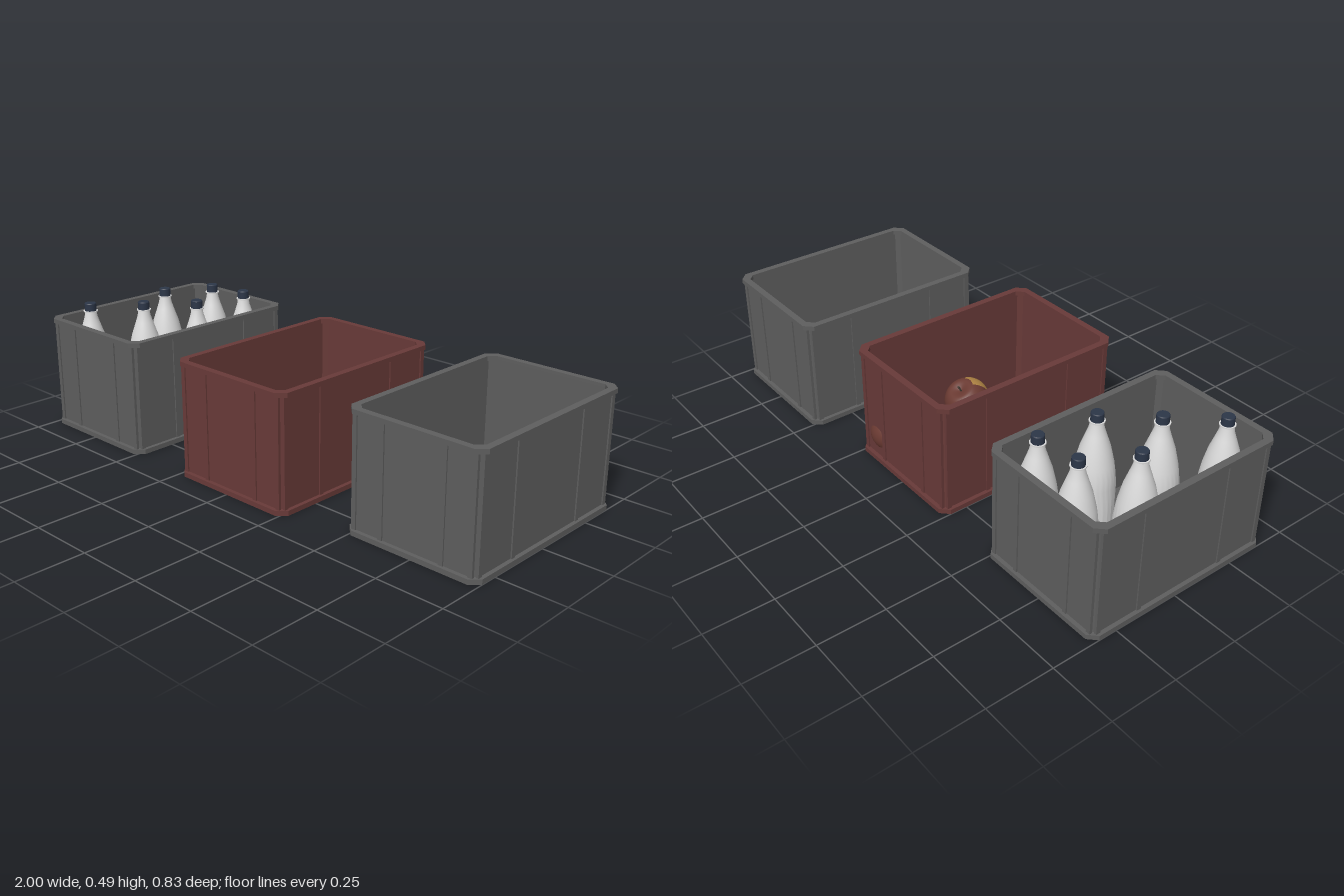
import * as THREE from 'three';

const mat = (name, color) => {
  const m = new THREE.MeshStandardMaterial({ color });
  m.name = name;
  return m;
};

const mesh = (name, geo, material, parent, x = 0, y = 0, z = 0) => {
  const m = new THREE.Mesh(geo, material);
  m.name = name;
  m.position.set(x, y, z);
  parent.add(m);
  return m;
};

// rectangle with cut corners
function chamfered(Type, w, l, c) {
  const pts = [[w - c, -l], [w, c - l], [w, l - c], [w - c, l], [c - w, l], [-w, l - c], [-w, c - l], [c - w, -l]];
  return new Type(pts.map(([x, y]) => new THREE.Vector2(x, y)));
}

// flat slab or ring (when thickness is given) standing between two heights
function slab(w, l, c, y0, y1, thickness) {
  const shape = chamfered(THREE.Shape, w, l, c);
  if (thickness) shape.holes.push(chamfered(THREE.Path, w - thickness, l - thickness, c * 0.8));
  const geo = new THREE.ExtrudeGeometry(shape, { depth: y1 - y0, bevelEnabled: false });
  geo.rotateX(-Math.PI / 2);
  geo.translate(0, y0, 0);
  return geo;
}

function createCrate(name, material) {
  const crate = new THREE.Group();
  crate.name = name;
  mesh('walls', slab(0.245, 0.364, 0.02, 0.01, 0.42, 0.01), material, crate);
  mesh('topRim', slab(0.26, 0.379, 0.03, 0.413, 0.43, 0.025), material, crate);
  mesh('bottomRim', slab(0.26, 0.379, 0.03, 0, 0.018, 0.025), material, crate);
  mesh('floor', slab(0.245, 0.364, 0.02, 0.003, 0.017), material, crate);
  // vertical ribs on all four sides
  const height = 0.4;
  for (const s of [-1, 1]) {
    for (const z of [-0.346, -0.178, 0.178, 0.346])
      mesh('sideRib', new THREE.BoxGeometry(0.01, height, 0.017), material, crate, s * 0.245, 0.215, z);
    for (const x of [-0.228, -0.119, 0.119, 0.228])
      mesh('endRib', new THREE.BoxGeometry(0.017, height, 0.01), material, crate, x, 0.215, s * 0.364);
  }
  return crate;
}

const lathe = (pts, segments, start = 0, length = Math.PI * 2) =>
  new THREE.LatheGeometry(pts.map(([r, y]) => new THREE.Vector2(r, y)), segments, start, length);

function bottleGeometry() {
  const geo = lathe([[0, 0.02], [0.064, 0.02], [0.072, 0.035], [0.073, 0.13], [0.073, 0.22], [0.07, 0.26],
    [0.064, 0.3], [0.05, 0.36], [0.033, 0.41], [0.025, 0.435], [0.021, 0.46]], 48);
  // shallow flutes round the body
  const p = geo.attributes.position;
  for (let i = 0; i < p.count; i++) {
    const y = p.getY(i);
    if (y < 0.1 || y > 0.25) continue;
    const column = Math.floor(i / 11);
    const k = column % 2 ? 0.95 : 1.02;
    p.setXYZ(i, p.getX(i) * k, y, p.getZ(i) * k);
  }
  geo.computeVertexNormals();
  return geo;
}

// apple outline of unit radius; a runs from bottom to top
function appleProfile(from, to, grow = 1) {
  const pts = [];
  for (let i = 0; i <= 20; i++) {
    const a = from + (to - from) * i / 20;
    const dimple = a > 2.6 ? 0.3 * (a - 2.6) / 0.54 : 0;
    pts.push([Math.max(0, Math.sin(a)) * grow, (-0.92 * Math.cos(a) - dimple) * grow]);
  }
  return pts;
}

export function createModel() {
  const gray = mat('gray plastic', 0x5e5e5e);
  const red = mat('red plastic', 0x683a38);
  const white = mat('bottle white', 0xdadada);
  const navy = mat('cap navy', 0x2c3648);
  const skin = mat('apple red', 0x6a3a32);
  const ochre = mat('apple ochre', 0xb08444);
  const stemColor = mat('stem brown', 0x4a4038);

  const model = new THREE.Group();
  model.name = 'crates';

  const bottleCrate = createCrate('bottleCrate', gray);
  bottleCrate.position.set(-0.74, 0, 0.031);
  const appleCrate = createCrate('appleCrate', red);
  appleCrate.position.set(0.01, 0, 0.033);
  const emptyCrate = createCrate('emptyCrate', gray);
  emptyCrate.position.set(0.74, 0, -0.035);
  model.add(bottleCrate, appleCrate, emptyCrate);

  // bottles with collar and screw cap
  const bodyGeo = bottleGeometry();
  const collarGeo = new THREE.CylinderGeometry(0.027, 0.027, 0.004, 32);
  const capGeo = lathe([[0, 0.46], [0.022, 0.46], [0.022, 0.46], [0.022, 0.487], [0.022, 0.487], [0.02, 0.49], [0.02, 0.49], [0, 0.49]], 32);
  const spots = [[-0.752, -0.21], [-0.589, -0.23], [-0.843, -0.037], [-0.612, -0.006], [-0.746, 0.148], [-0.877, 0.302]];
  for (const [x, z] of spots) {
    const bottle = new THREE.Group();
    bottle.name = 'bottle';
    bottle.position.set(x, 0, z);
    mesh('bottleBody', bodyGeo, white, bottle);
    mesh('collar', collarGeo, white, bottle, 0, 0.458);
    mesh('cap', capGeo, navy, bottle);
    model.add(bottle);
  }

  // apples: x, y, z, radius, turn, tilt
  const fruit = [
    [-0.12, 0.083, -0.187, 0.082, 0, -0.1], [0.175, 0.095, -0.262, 0.083, 0.7, -0.2],
    [0.062, 0.08, -0.155, 0.06, 0.1, -0.1], [-0.05, 0.09, 0.027, 0.08, -0.1, 0.1],
    [0.057, 0.19, -0.015, 0.082, -0.8, -0.5], [0.11, 0.09, 0.06, 0.08, 2.5, 0],
    [-0.103, 0.095, 0.294, 0.08, -0.1, -0.25],
  ];
  const appleGeo = lathe(appleProfile(0, Math.PI), 32);
  const patchGeo = lathe(appleProfile(1.1, 2.5, 1.012), 14, Math.PI / 4 - 0.55, 1.1);
  const stemGeo = new THREE.CylinderGeometry(0.05, 0.035, 0.4, 8);
  for (const [x, y, z, r, turn, tilt] of fruit) {
    const apple = new THREE.Group();
    apple.name = 'apple';
    apple.position.set(x, y, z);
    apple.rotation.set(tilt, turn, 0);
    apple.scale.setScalar(r);
    mesh('appleBody', appleGeo, skin, apple);
    mesh('applePatch', patchGeo, ochre, apple);
    mesh('stem', stemGeo, stemColor, apple, 0, 0.75);
    model.add(apple);
  }
  return model;
}
